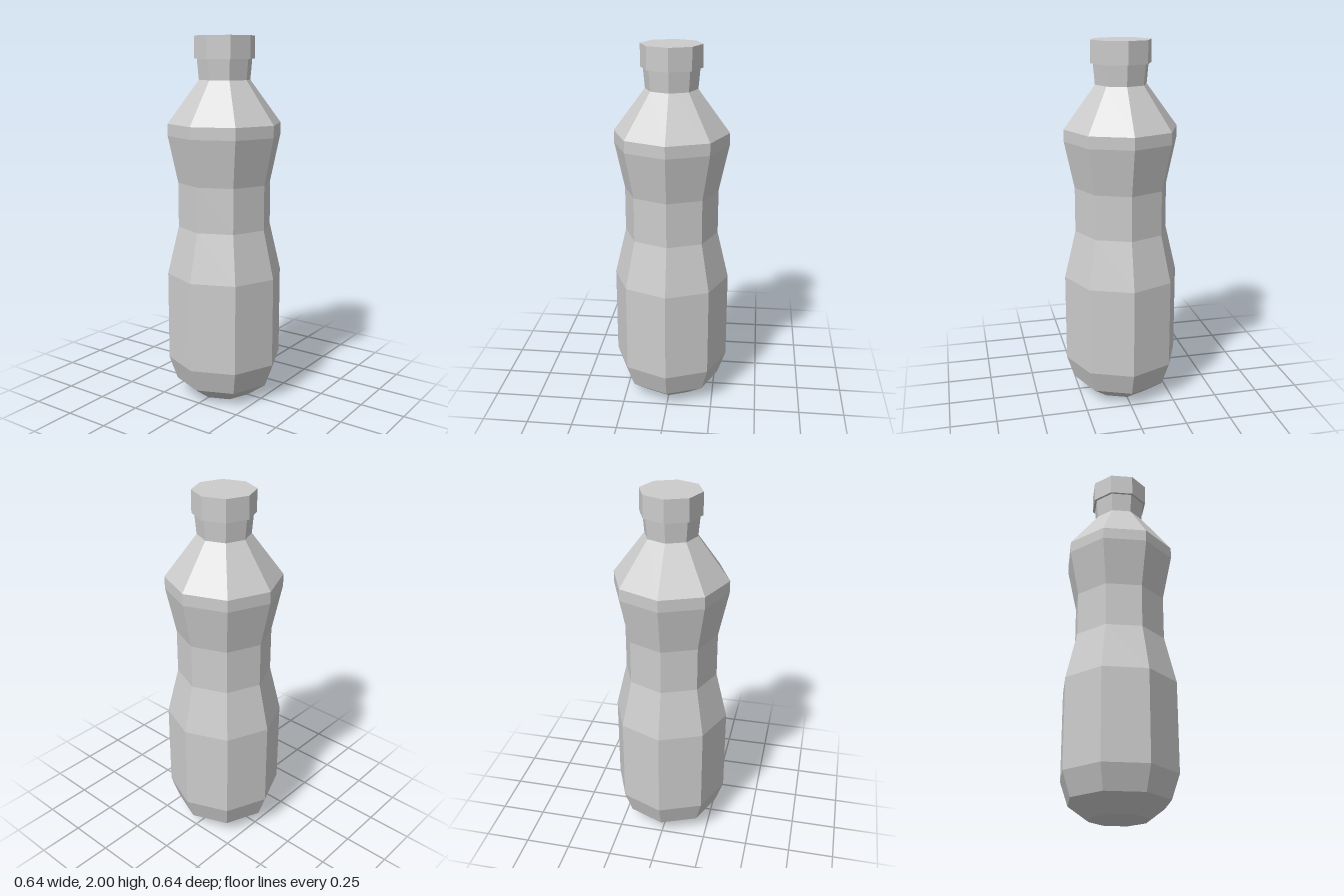
import * as THREE from 'three';

const SIDES = 8;

// Closed eight-sided turned part from [radius, height] pairs, bottom to top
function turned(name, profile, material) {
  const points = profile.map(([r, y]) => new THREE.Vector2(r, y));
  const mesh = new THREE.Mesh(new THREE.LatheGeometry(points, SIDES), material);
  mesh.name = name;
  return mesh;
}

export function createModel() {
  const grey = new THREE.MeshStandardMaterial({ color: 0xcccccc, flatShading: true });
  grey.name = 'light grey';

  const bottle = new THREE.Group();
  bottle.name = 'bottle';

  // Body with tapered base, gripped waist, shoulder and neck
  bottle.add(turned('body', [
    [0, 0], [0.16, 0], [0.275, 0.085], [0.32, 0.215], [0.32, 0.71],
    [0.257, 0.975], [0.257, 1.22], [0.311, 1.475], [0.311, 1.54],
    [0.14, 1.77], [0.15, 1.88], [0, 1.88],
  ], grey));

  // Screw cap, slightly wider than the neck
  bottle.add(turned('cap', [
    [0, 1.88], [0.164, 1.88], [0.164, 2], [0, 2],
  ], grey));

  return bottle;
}
